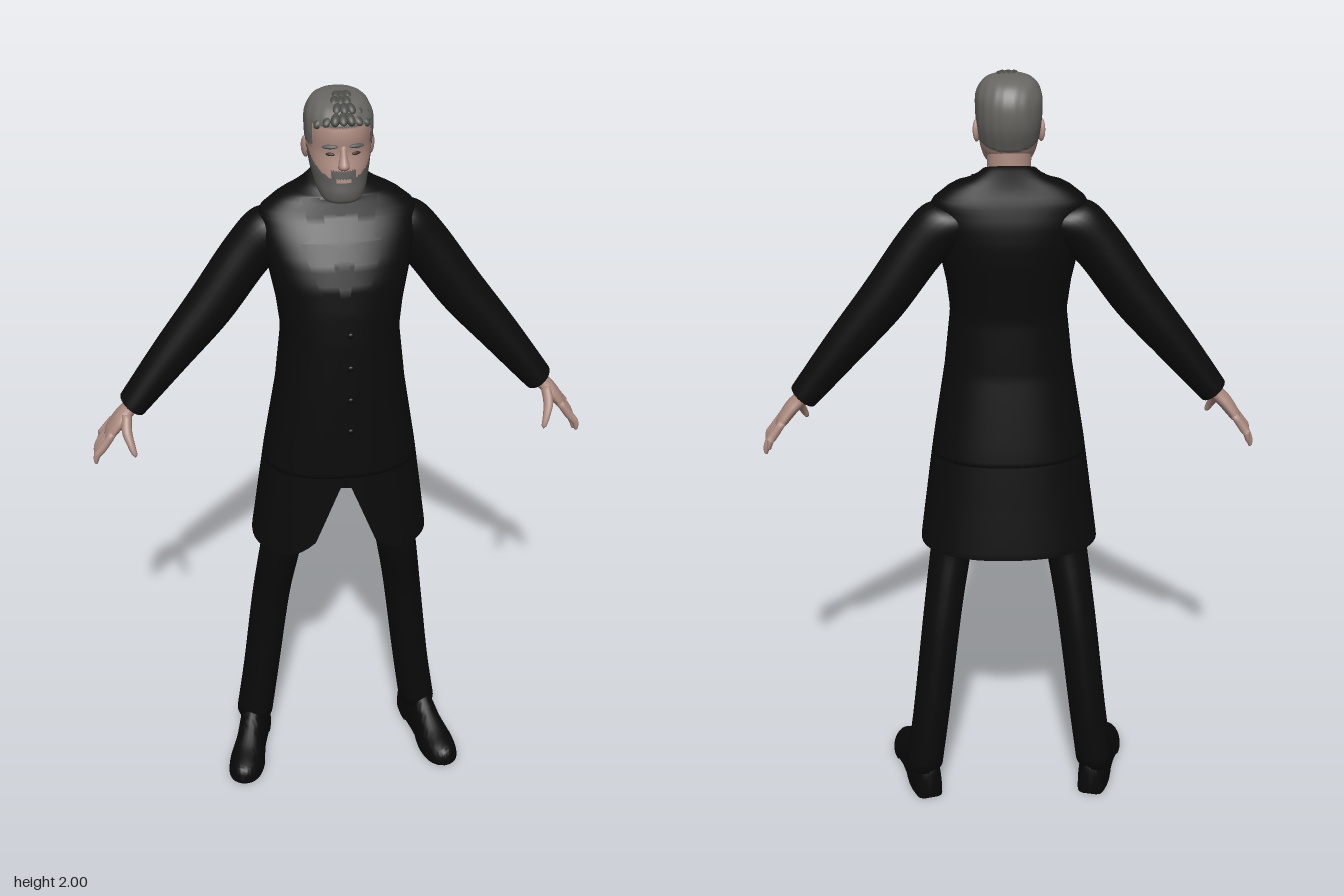
import * as THREE from 'three';
import { toCreasedNormals } from 'three/addons/utils/BufferGeometryUtils.js';
import { ParametricGeometry } from 'three/addons/geometries/ParametricGeometry.js';

const mat = (name, color, side = THREE.FrontSide) => {
  const m = new THREE.MeshStandardMaterial({ color, side });
  m.name = name;
  return m;
};
const V3 = (x, y, z) => new THREE.Vector3(x, y, z);
const X = V3(1, 0, 0), Y = V3(0, 1, 0), Z = V3(0, 0, 1);
const power = (t, n) => Math.sign(t) * Math.abs(t) ** (2 / n);

// Skin over oval rings [x, y, z, a, b]; a runs along U and b along V
function loft(rings, U, V, { seg = 24, steps = 24, n = 2, s = 1, warp, classify } = {}) {
  const centres = new THREE.CatmullRomCurve3(rings.map(r => V3(r[0], r[1], r[2])), false, 'catmullrom');
  const radii = new THREE.CatmullRomCurve3(rings.map(r => V3(r[3], r[4], 0)), false, 'catmullrom');
  const pts = [];
  for (let i = 0; i <= steps; i++) {
    const c = centres.getPoint(i / steps), r = radii.getPoint(i / steps);
    for (let j = 0; j < seg; j++) {
      const t = j / seg * Math.PI * 2;
      pts.push(c.clone().addScaledVector(U, r.x * power(Math.cos(t), n)).addScaledVector(V, r.y * power(Math.sin(t), n)));
    }
  }
  pts.push(centres.getPoint(0), centres.getPoint(1));
  if (warp) pts.forEach(warp);
  const along = centres.getPoint(1).sub(centres.getPoint(0));
  const flip = (U.clone().cross(V).dot(along) < 0) !== (s < 0);
  const lists = [[], [], []];
  const tri = (a, b, c) => {
    const m = pts[a].clone().add(pts[b]).add(pts[c]).divideScalar(3);
    lists[classify ? classify(m) : 0].push(...(flip ? [a, c, b] : [a, b, c]));
  };
  const first = pts.length - 2, end = steps * seg;
  for (let j = 0; j < seg; j++) {
    const k = (j + 1) % seg;
    for (let i = 0; i < steps; i++) {
      const p = i * seg, q = p + seg;
      tri(p + j, p + k, q + k);
      tri(p + j, q + k, q + j);
    }
    tri(first, k, j);
    tri(first + 1, end + j, end + k);
  }
  const g = new THREE.BufferGeometry();
  g.setAttribute('position', new THREE.Float32BufferAttribute(pts.flatMap(p => [p.x * s, p.y, p.z]), 3));
  g.setIndex(lists.flat());
  if (classify) {
    let start = 0;
    lists.forEach((l, i) => { g.addGroup(start, l.length, i); start += l.length; });
  }
  g.computeVertexNormals();
  return g;
}

// Coat body: height, centre z, half width, half depth
const COAT = [
  [0.77, -0.008, 0.232, 0.157], [0.9, 0, 0.215, 0.149], [1.05, 0.008, 0.195, 0.14], [1.25, 0.02, 0.163, 0.125],
  [1.4, 0.02, 0.147, 0.12], [1.48, 0.012, 0.156, 0.122], [1.55, 0.003, 0.17, 0.122], [1.6, -0.008, 0.18, 0.114],
  [1.65, -0.022, 0.19, 0.098], [1.7, -0.035, 0.188, 0.075], [1.735, -0.037, 0.145, 0.063],
  [1.765, -0.038, 0.09, 0.056], [1.795, -0.042, 0.063, 0.048]];
const COAT_N = 2.3, WAIST = 1.02;
function coatAt(y) {
  let i = 0;
  while (i < COAT.length - 2 && y > COAT[i + 1][0]) i++;
  const t = (y - COAT[i][0]) / (COAT[i + 1][0] - COAT[i][0]);
  return COAT[i].map((v, k) => THREE.MathUtils.lerp(v, COAT[i + 1][k], t));
}
function chestZ(x, y) {
  const [, zc, rx, rz] = coatAt(y);
  return zc + rz * Math.max(0, 1 - Math.abs(x / rx) ** COAT_N) ** (1 / COAT_N);
}
// Thin panel laid on the chest; rows are [y, x from, x to], going upward
function panel(rows, lift, s = 1) {
  return new ParametricGeometry((u, v, p) => {
    const f = v * (rows.length - 1), i = Math.min(Math.floor(f), rows.length - 2);
    const [y, a, b] = rows[i].map((q, k) => THREE.MathUtils.lerp(q, rows[i + 1][k], f - i));
    const x = THREE.MathUtils.lerp(a, b, u);
    p.set(x * s, y, chestZ(x, y) + lift);
  }, 8, 24);
}

// Head colouring: 0 skin, 1 hair, 2 beard
function headZone({ x, y, z }) {
  const hairline = z > 0.045 ? 1.945 : z > 0.005 ? 1.89 : 1.825 + Math.max(0, z + 0.08) * 0.3;
  if (y > hairline) return 1;
  if (Math.abs(x) < 0.018 && y > 1.814 && y < 1.822 && z > 0.05) return 0;
  if (z > 0.002 && y < 1.825 + (0.09 - z) * 0.6) return 2;
  return Math.abs(x) < 0.03 && z > 0.05 && y < 1.843 ? 2 : 0;
}

export function createModel() {
  const root = new THREE.Group();
  const coat = mat('coat black', 0x0b0b0b, THREE.DoubleSide);
  const shirt = mat('shirt black', 0x0e0e0f, THREE.DoubleSide);
  const trousers = mat('trouser black', 0x0a0a0b);
  const leather = mat('shoe black', 0x080808);
  const skin = mat('skin', 0xae8d82);
  const hair = mat('grey hair', 0x686763);
  const lockGrey = mat('dark grey hair', 0x4c4c48);
  const beard = mat('grey beard', 0x5c5b59);
  const eyeDark = mat('eye brown', 0x3a2c26);
  const add = (name, geometry, material, parent = root) => {
    const m = new THREE.Mesh(geometry, material);
    m.name = name;
    parent.add(m);
    return m;
  };
  const blob = (name, material, pos, size, rot = [0, 0, 0]) => {
    const m = add(name, new THREE.SphereGeometry(1, 16, 12), material);
    m.position.set(...pos);
    m.scale.set(...size);
    m.rotation.set(...rot);
  };

  // Coat upper body, with the collar dipping at the front
  const rows = [];
  for (let i = 0; i <= 40; i++) {
    const [y, zc, rx, rz] = coatAt(WAIST + (1.795 - WAIST) * i / 40);
    rows.push([0, y, zc, rx, rz]);
  }
  add('coatBody', loft(rows, X, Z, {
    seg: 48, steps: 60, n: COAT_N,
    warp: p => { if (p.y > 1.74) p.y -= (p.z + 0.09) * 0.35 * (p.y - 1.74) / 0.05; },
  }), coat);

  // Coat skirt, open at the front with rounded corners
  add('coatSkirt', new ParametricGeometry((u, v, p) => {
    const edge = Math.max(0, 1 - Math.min(u, 1 - u) * 14);
    const y = THREE.MathUtils.lerp(WAIST, 0.768 + 0.05 * edge * edge, v);
    const gap = 0.3 * v, t = gap + u * (Math.PI * 2 - gap * 2);
    const [, zc, rx, rz] = coatAt(Math.max(y, 0.77));
    p.set(rx * power(Math.sin(t), COAT_N), y, zc + rz * power(Math.cos(t), COAT_N));
  }, 72, 14), coat);

  // Shirt front, tie, lapels and pocket flaps
  add('shirtFront', panel([[1.48, -0.002, 0.002], [1.74, -0.05, 0.05]], 0.002), shirt);
  add('tie', panel([[1.48, -0.002, 0.002], [1.53, -0.016, 0.016], [1.7, -0.01, 0.01], [1.745, -0.018, 0.018]], 0.006), trousers);
  for (const s of [1, -1]) {
    add('lapel', panel([[1.46, 0, 0.004], [1.56, 0.016, 0.065], [1.65, 0.032, 0.1], [1.66, 0.034, 0.075], [1.745, 0.048, 0.09]], 0.007, s), coat);
    add('pocketFlap', panel([[1.24, 0.07, 0.135], [1.275, 0.07, 0.133]], 0.005, s), coat);
  }
  for (const y of [1.43, 1.34, 1.25, 1.16]) blob('coatButton', leather, [0.012, y, chestZ(0, y) + 0.002], [0.008, 0.008, 0.004]);

  for (const s of [1, -1]) {
    const side = s > 0 ? 'left' : 'right';
    // Sleeve
    const across = V3(0.77, 0.64, 0);
    add(side + 'Sleeve', loft([
      [0.1, 1.665, -0.04, 0.04, 0.05], [0.15, 1.645, -0.042, 0.068, 0.065], [0.217, 1.58, -0.042, 0.064, 0.06],
      [0.315, 1.442, -0.037, 0.061, 0.057], [0.42, 1.312, -0.03, 0.051, 0.051], [0.515, 1.192, -0.022, 0.039, 0.046],
      [0.521, 1.185, -0.022, 0.037, 0.044]], across, Z, { s, steps: 36, seg: 28 }), coat);

    // Hand with four fingers and a thumb
    const hand = new THREE.Group();
    hand.name = side + 'Hand';
    root.add(hand);
    add('palm', loft([
      [0.505, 1.21, -0.02, 0.02, 0.028], [0.53, 1.175, -0.018, 0.019, 0.028], [0.555, 1.148, -0.014, 0.018, 0.038],
      [0.58, 1.115, -0.016, 0.015, 0.042], [0.594, 1.095, -0.017, 0.009, 0.036]], across, Z, { s }), skin, hand);
    [[0.019, 1.035], [-0.005, 1.022], [-0.029, 1.026], [-0.051, 1.05]].forEach(([z, tip], i) => {
      const zt = z * 1.2 - 0.001, x = 0.627 - (i === 3 ? 0.012 : 0);
      add('finger', loft([
        [0.578, 1.12, z, 0.01, 0.01], [0.606, 1.08, (z + zt) / 2, 0.011, 0.0105],
        [x - 0.005, tip + 0.025, zt, 0.009, 0.009], [x, tip + 0.004, zt, 0.006, 0.006], [x, tip, zt, 0.001, 0.001]],
      V3(0.85, 0.5, 0), Z, { s, seg: 12, steps: 14 }), skin, hand);
    });
    add('thumb', loft([
      [0.54, 1.165, 0.005, 0.013, 0.018], [0.542, 1.135, 0.038, 0.013, 0.015], [0.534, 1.108, 0.06, 0.01, 0.011],
      [0.527, 1.087, 0.071, 0.007, 0.008], [0.525, 1.08, 0.074, 0.001, 0.001]], X, V3(0, 0.5, 0.85), { s, seg: 12, steps: 16 }), skin, hand);

    // Trouser leg
    add(side + 'TrouserLeg', loft([
      [0.09, 1.03, 0.005, 0.088, 0.1], [0.118, 0.9, 0.005, 0.076, 0.088], [0.146, 0.77, 0, 0.058, 0.072],
      [0.167, 0.64, -0.022, 0.053, 0.069], [0.186, 0.5, -0.047, 0.051, 0.063], [0.215, 0.25, -0.063, 0.05, 0.067],
      [0.238, 0.08, -0.066, 0.051, 0.066]], X, Z, { s, steps: 32, seg: 28 }), trousers);

    // Shoe: half-oval sections from heel to toe, flat underneath
    const stations = [[-0.132, 0.02, 0.07], [-0.12, 0.034, 0.1], [-0.07, 0.043, 0.125], [-0.02, 0.042, 0.118],
      [0.03, 0.043, 0.09], [0.085, 0.05, 0.064], [0.13, 0.044, 0.052], [0.155, 0.028, 0.042], [0.165, 0.008, 0.025]];
    const shoe = loft(stations.map(([z, w, h]) => [0.254 + z * 0.25, 0, z, w, h]), V3(0.97, 0, -0.24), Y, {
      s, steps: 36, seg: 36, n: 2.3,
      warp: p => { p.y = Math.max(p.y, p.z > -0.03 && p.z < 0.05 ? 0.008 : 0); },
    });
    add(side + 'Shoe', toCreasedNormals(shoe, 0.8), leather);

    // Ear, brow and eye
    blob(side + 'Ear', skin, [s * 0.077, 1.862, -0.012], [0.009, 0.028, 0.017], [0.15, s * -0.3, 0]);
    blob(side + 'Brow', beard, [s * 0.031, 1.899, 0.084], [0.019, 0.005, 0.007], [0, s * 0.35, s * -0.08]);
    blob(side + 'Eye', eyeDark, [s * 0.03, 1.88, 0.083], [0.011, 0.004, 0.004], [0, s * 0.35, 0]);
  }

  // Neck
  add('neck', loft([[0, 1.69, -0.035, 0.054, 0.052], [0, 1.76, -0.028, 0.053, 0.052], [0, 1.84, -0.02, 0.054, 0.056]], X, Z), skin);

  // Head: height, front z, back z, half width
  const profile = [[1.754, 0.082, 0.05, 0.022], [1.765, 0.1, 0.02, 0.045], [1.785, 0.104, -0.03, 0.058], [1.81, 0.1, -0.068, 0.066],
    [1.84, 0.096, -0.085, 0.072], [1.88, 0.088, -0.1, 0.076], [1.92, 0.091, -0.104, 0.078], [1.95, 0.085, -0.098, 0.076],
    [1.975, 0.066, -0.082, 0.064], [1.989, 0.04, -0.06, 0.045], [1.995, 0.005, -0.03, 0.015]];
  add('head', loft(profile.map(([y, f, b, w]) => [0, y, (f + b) / 2, w, (f - b) / 2]), X, Z, {
    seg: 80, steps: 80, n: 2.15, classify: headZone,
    warp: p => {
      if (headZone(p) === 1) {
        const k = 1.03 + 0.008 * Math.sin(p.x * 260 + p.z * 90);
        p.x *= k;
        p.z *= k;
      }
    },
  }), [skin, hair, beard]);

  // Nose
  add('nose', loft([[0, 1.9, 0.082, 0.007, 0.008], [0, 1.875, 0.09, 0.009, 0.012], [0, 1.857, 0.096, 0.013, 0.017],
    [0, 1.848, 0.094, 0.012, 0.013], [0, 1.845, 0.09, 0.004, 0.005]], X, Z, { seg: 16, steps: 16 }), skin);

  // Swept locks over the forehead and crown
  for (let r = 0; r < 4; r++) {
    for (let i = -3; i <= 3; i++) {
      const x = i * (0.017 - r * 0.0015) + (r % 2) * 0.005;
      const z = 0.081 - r * 0.024 - Math.abs(i) ** 2 * 0.003;
      const y = [1.962, 1.978, 1.986, 1.99][r] - Math.abs(i) ** 2 * 0.0018;
      blob('hairLock', lockGrey, [x, y, z], [0.011, 0.009 + (i & 1) * 0.002, 0.018], [0.5 - r * 0.12, i * 0.25, i * -0.12]);
    }
  }
  return root;
}
